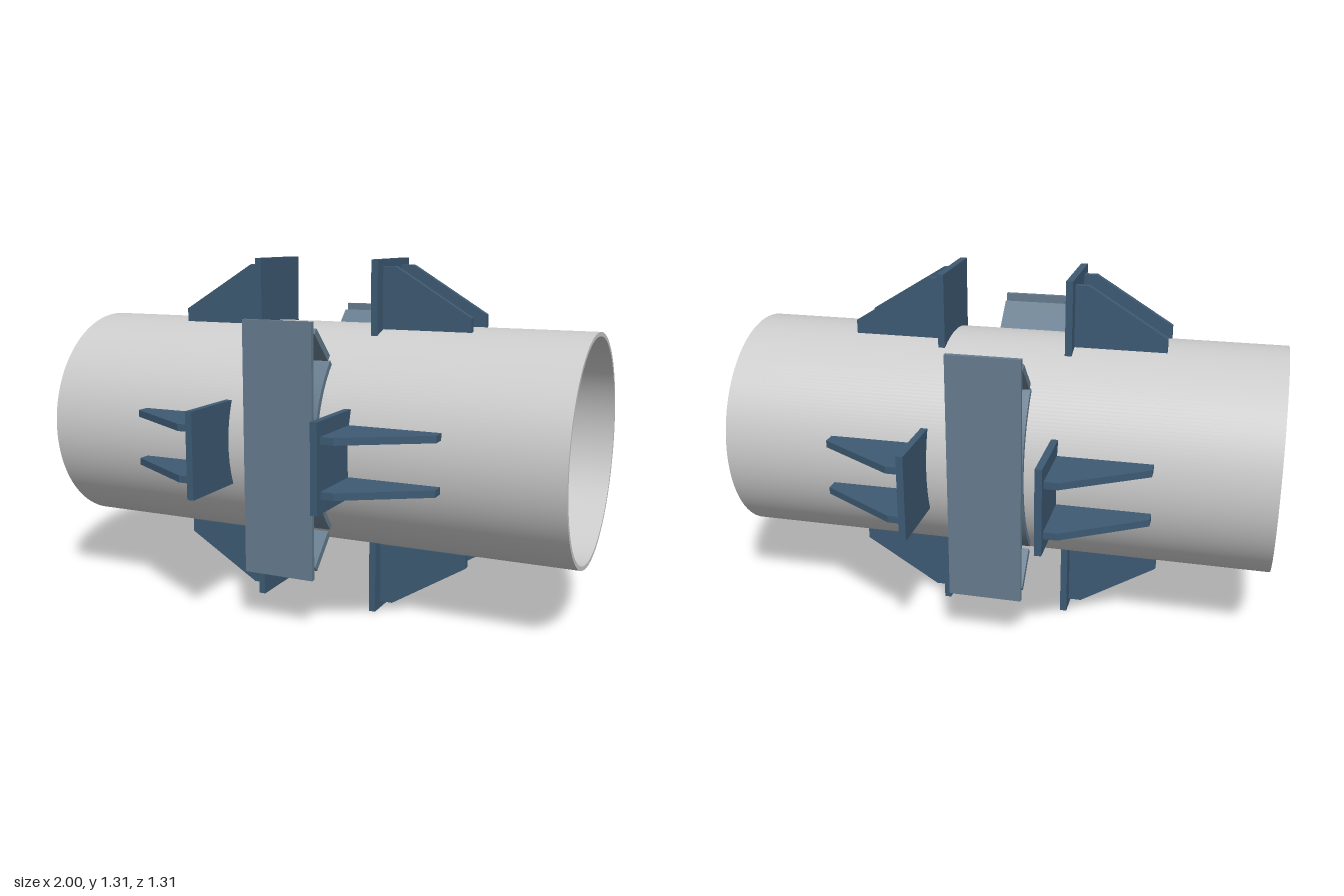
import * as THREE from 'three';
import { toCreasedNormals } from 'three/addons/utils/BufferGeometryUtils.js';

const AXIS_Y = 0.655;   // height of the pipe axis
const R = 0.415;        // pipe outer radius
const pipeMat = new THREE.MeshStandardMaterial({ color: 0xcccccc });
const lugMat = new THREE.MeshStandardMaterial({ color: 0x3d5a73 });
const saddleMat = new THREE.MeshStandardMaterial({ color: 0x667c8e });

// Extrude a shape symmetrically about z = 0
function slab(shape, depth) {
  const geo = new THREE.ExtrudeGeometry(shape, { depth, bevelEnabled: false, curveSegments: 96 });
  geo.translate(0, 0, -depth / 2);
  return toCreasedNormals(geo, 0.5);
}

// Same, with the extrusion running along the pipe (x)
const slabAlongX = (shape, depth) => slab(shape, depth).rotateY(Math.PI / 2);

function add(parent, name, geo, mat, x = 0, y = 0, z = 0) {
  const mesh = new THREE.Mesh(geo, mat);
  mesh.name = name;
  mesh.position.set(x, y, z);
  parent.add(mesh);
  return mesh;
}

// Stop lug: plate fitted to the pipe, with two gussets behind it
function makeLug() {
  const lug = new THREE.Group();
  lug.name = 'stopLug';
  const w = 0.155, a = Math.acos(w / R);
  const plate = new THREE.Shape();
  plate.moveTo(w, 0.655);
  plate.lineTo(-w, 0.655);
  plate.lineTo(-w, R * Math.sin(a));
  plate.absarc(0, 0, R, Math.PI - a, a, true);
  plate.closePath();
  add(lug, 'stopPlate', slabAlongX(plate, 0.025), lugMat, 0.235);

  const gusset = new THREE.Shape([
    [0.247, 0.405], [0.58, 0.405], [0.58, 0.455], [0.295, 0.63], [0.247, 0.63],
  ].map(([x, y]) => new THREE.Vector2(x, y)));
  for (const s of [-1, 1]) add(lug, 'gusset', slab(gusset, 0.025), lugMat, 0, 0, s * 0.091);
  return lug;
}

// Side saddle: curved pad, upright plate and two sloping struts
function makeSaddle() {
  const saddle = new THREE.Group();
  saddle.name = 'saddle';
  const width = 0.266, q = Math.PI / 4;
  const pad = new THREE.Shape();
  pad.absarc(0, 0, R + 0.02, Math.PI - q, Math.PI + q, false);
  pad.absarc(0, 0, R, Math.PI + q, Math.PI - q, true);
  pad.closePath();
  add(saddle, 'curvedPad', slabAlongX(pad, width), saddleMat);
  add(saddle, 'uprightPlate', new THREE.BoxGeometry(width, 0.91, 0.018), saddleMat, 0, 0, 0.45);
  for (const s of [-1, 1]) {
    const strut = add(saddle, 'strut', new THREE.BoxGeometry(width, 0.15, 0.025), saddleMat,
      0, s * 0.369, 0.372);
    strut.rotation.x = s * Math.atan2(0.108, 0.103);
  }
  return saddle;
}

export function createModel() {
  const model = new THREE.Group();
  model.name = 'pipeSupport';
  const body = new THREE.Group();
  body.name = 'pipeAssembly';
  body.position.y = AXIS_Y;
  model.add(body);

  // Open pipe
  const ring = new THREE.Shape().absarc(0, 0, R, 0, Math.PI * 2, false);
  ring.holes.push(new THREE.Path().absarc(0, 0, 0.4, 0, Math.PI * 2, true));
  add(body, 'pipe', slabAlongX(ring, 2), pipeMat);

  // Four lugs round the pipe on either side of the saddles
  for (let k = 0; k < 4; k++) {
    for (const turn of [0, Math.PI]) {
      const lug = makeLug();
      lug.rotation.set(k * Math.PI / 2, turn, 0);
      body.add(lug);
    }
  }

  // Front and back saddles
  for (const turn of [0, Math.PI]) {
    const saddle = makeSaddle();
    saddle.rotation.y = turn;
    body.add(saddle);
  }
  return model;
}
